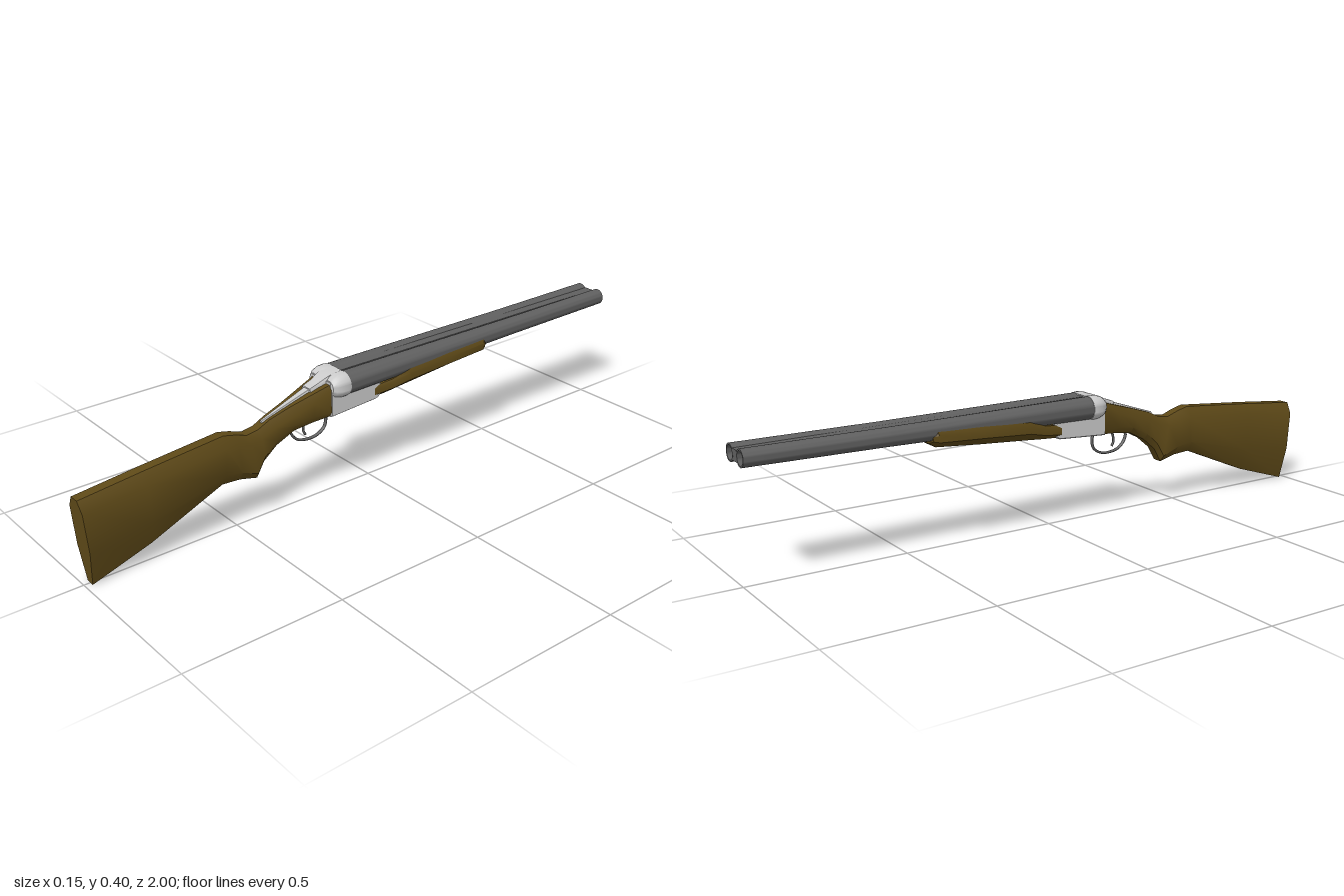
import * as THREE from 'three';
import { toCreasedNormals } from 'three/addons/utils/BufferGeometryUtils.js';

const mat = (color) => new THREE.MeshStandardMaterial({ color, roughness: 0.8 });

// Skin a list of equal-length rings, ordered toward +z, and cap both ends
function loft(rings, crease = 0.6) {
  const n = rings[0].length, index = [];
  for (let i = 0; i < rings.length - 1; i++) {
    for (let j = 0; j < n; j++) {
      const a = i * n + j, b = i * n + (j + 1) % n;
      index.push(a, b, b + n, a, b + n, a + n);
    }
  }
  const last = (rings.length - 1) * n;
  for (let j = 1; j < n - 1; j++) {
    index.push(0, j + 1, j, last, last + j, last + j + 1);
  }
  const g = new THREE.BufferGeometry();
  g.setAttribute('position', new THREE.Float32BufferAttribute(rings.flat(2), 3));
  g.setIndex(index);
  return toCreasedNormals(g, crease);
}

// Eight-sided section; it may lean, with its top and bottom at different z
function section([zTop, yTop, zBot, yBot, half, topHalf, botHalf, hi, lo]) {
  const right = [[botHalf, yBot], [half, yBot + lo], [half, yTop - hi], [topHalf, yTop]];
  const left = right.map(([x, y]) => [-x, y]).reverse();
  return [...right, ...left].map(([x, y]) =>
    [x, y, zBot + (zTop - zBot) * (y - yBot) / (yTop - yBot)]);
}

export function createModel() {
  const group = new THREE.Group();
  const wood = mat(0x5f4a18), barrelSteel = mat(0x606060), silver = mat(0xcccccc);
  const add = (name, geometry, material) => {
    const mesh = new THREE.Mesh(geometry, material);
    mesh.name = name;
    group.add(mesh);
    return mesh;
  };

  // Stock: receiver end, wrist, grip, comb, butt
  add('stock', loft([
    [0.17, 0.378, 0.17, 0.275, 0.05, 0.044, 0.044, 0.012, 0.012],
    [0.24, 0.357, 0.24, 0.268, 0.044, 0.033, 0.034, 0.025, 0.02],
    [0.31, 0.336, 0.30, 0.257, 0.037, 0.022, 0.024, 0.028, 0.02],
    [0.38, 0.314, 0.36, 0.226, 0.031, 0.016, 0.018, 0.026, 0.02],
    [0.42, 0.295, 0.405, 0.188, 0.029, 0.015, 0.016, 0.026, 0.02],
    [0.46, 0.289, 0.432, 0.142, 0.03, 0.015, 0.016, 0.026, 0.02],
    [0.50, 0.303, 0.49, 0.156, 0.034, 0.016, 0.015, 0.032, 0.03],
    [0.54, 0.313, 0.55, 0.16, 0.036, 0.016, 0.014, 0.035, 0.035],
    [0.80, 0.290, 0.79, 0.06, 0.036, 0.016, 0.014, 0.035, 0.075],
    [1.00, 0.270, 0.98, 0.0, 0.036, 0.016, 0.014, 0.035, 0.11],
  ].map(section)), wood);

  // Fore-end under the barrels
  add('foreEnd', loft([
    [-0.44, 0.362, -0.435, 0.328, 0.062, 0.055, 0.028, 0.008, 0.012],
    [-0.425, 0.37, -0.415, 0.315, 0.072, 0.066, 0.032, 0.012, 0.022],
    [-0.27, 0.364, -0.27, 0.304, 0.074, 0.068, 0.036, 0.014, 0.026],
    [-0.11, 0.355, -0.11, 0.294, 0.073, 0.068, 0.04, 0.012, 0.026],
    [-0.05, 0.334, -0.05, 0.29, 0.062, 0.057, 0.042, 0.008, 0.015],
    [0.02, 0.325, 0.02, 0.286, 0.05, 0.047, 0.042, 0.008, 0.01],
  ].map(section)), wood);

  // Hollow tapered barrels, each with a rounded fence behind it
  const barrel = new THREE.LatheGeometry([
    [0.0, 0], [0.036, 0], [0.034, 0.2], [0.028, 0.7], [0.026, 1.13],
    [0.021, 1.13], [0.021, 0.7], [0, 0.7],
  ].map(([r, y]) => new THREE.Vector2(r, y)), 28);
  barrel.rotateX(-Math.PI / 2);
  const barrelGeometry = toCreasedNormals(barrel, 0.6);
  const fence = new THREE.LatheGeometry([
    [0, 0], [0.0375, 0], [0.0385, 0.012], [0.037, 0.03], [0.031, 0.047], [0.022, 0.057], [0, 0.06],
  ].map(([r, y]) => new THREE.Vector2(r, y)), 24);
  fence.rotateX(Math.PI / 2);
  const fenceGeometry = toCreasedNormals(fence, 0.7);
  for (const [side, s] of [['left', 1], ['right', -1]]) {
    const tube = add(side + 'Barrel', barrelGeometry, barrelSteel);
    tube.position.set(0.036 * s, 0.364, 0.13);
    tube.rotation.set(0.0062, -0.0018 * s, 0);
    add(side + 'Fence', fenceGeometry, silver).position.set(0.036 * s, 0.364, 0.122);
  }

  // Web and sighting rib joining the barrels
  add('barrelRib', loft([
    [-1, 0.388, -1, 0.354, 0.016, 0.016, 0.016, 0.005, 0.005],
    [0.13, 0.397, 0.13, 0.342, 0.018, 0.016, 0.016, 0.005, 0.005],
  ].map(section)), barrelSteel);

  // Receiver body, its rounded nose toward the fore-end
  const side = new THREE.Shape();
  side.moveTo(-0.178, 0.275);
  side.lineTo(-0.01, 0.285);
  side.quadraticCurveTo(0.012, 0.29, 0.01, 0.318);
  side.quadraticCurveTo(0.008, 0.335, -0.01, 0.335);
  side.lineTo(-0.122, 0.335);
  side.lineTo(-0.122, 0.385);
  side.lineTo(-0.178, 0.38);
  side.closePath();
  const body = new THREE.ExtrudeGeometry(side, { depth: 0.094, bevelSize: 0.003, bevelThickness: 0.004, bevelSegments: 1, curveSegments: 6 });
  body.translate(0, 0, -0.047).rotateY(Math.PI / 2);
  add('receiver', body, silver);

  // Top lever and tapering tang following the slope of the wrist
  add('topLever', loft([
    [0.12, 0.4, 0.12, 0.37, 0.026, 0.022, 0.022, 0.006, 0.004],
    [0.17, 0.395, 0.17, 0.36, 0.028, 0.024, 0.022, 0.006, 0.004],
    [0.205, 0.379, 0.205, 0.355, 0.021, 0.018, 0.018, 0.006, 0.004],
    [0.235, 0.369, 0.235, 0.345, 0.02, 0.017, 0.016, 0.006, 0.004],
  ].map(section)), silver);
  add('tang', loft([
    [0.2, 0.377, 0.2, 0.35, 0.015, 0.013, 0.013, 0.004, 0.004],
    [0.3, 0.344, 0.3, 0.32, 0.01, 0.008, 0.008, 0.004, 0.004],
    [0.4, 0.311, 0.4, 0.29, 0.005, 0.003, 0.003, 0.004, 0.004],
  ].map(section)), silver);

  // Trigger guard and trigger
  const wire = (points, radius) => new THREE.TubeGeometry(new THREE.CatmullRomCurve3(
    points.map(([z, y]) => new THREE.Vector3(0, y, z))), 32, radius, 8);
  add('triggerGuard', wire([[0.175, 0.282], [0.165, 0.25], [0.172, 0.22], [0.2, 0.202], [0.235, 0.199],
    [0.27, 0.208], [0.292, 0.23], [0.298, 0.25], [0.29, 0.268]], 0.004).scale(1.5, 1, 1), barrelSteel);
  add('trigger', wire([[0.238, 0.275], [0.248, 0.25], [0.25, 0.232], [0.243, 0.217]], 0.004), barrelSteel);

  return group;
}
